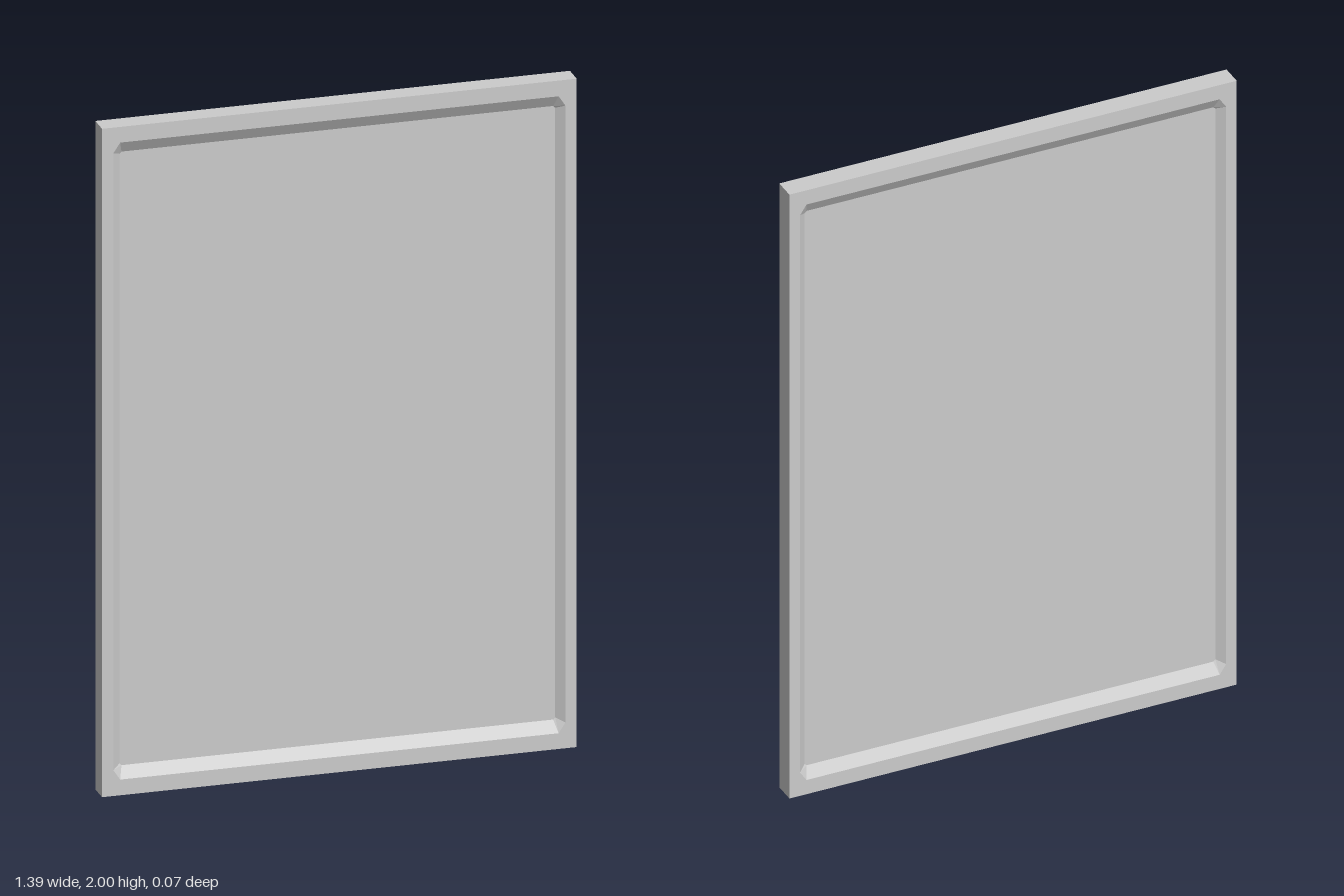
import * as THREE from 'three';

const CENTER_Y = 1, HALF_T = 0.033, HALF_WEB = 0.013;

// Rectangle outline with cut corners, as 8 points counter-clockwise seen from +z
function loop(hx, hy, cx, cy, z) {
  return [
    [hx, -hy + cy], [hx, hy - cy], [hx - cx, hy], [-hx + cx, hy],
    [-hx, hy - cy], [-hx, -hy + cy], [-hx + cx, -hy], [hx - cx, -hy],
  ].map(([x, y]) => [x, y + CENTER_Y, z]);
}

// Joins successive loops with quads, skipping collapsed corners
function loft(loops) {
  const pos = [];
  for (let i = 0; i < loops.length - 1; i++) {
    const a = loops[i], b = loops[i + 1], n = a.length;
    for (let j = 0; j < n; j++) {
      const k = (j + 1) % n;
      const same = (p, q) => p.every((v, m) => Math.abs(v - q[m]) < 1e-6);
      if (!same(a[j], a[k])) pos.push(...a[j], ...a[k], ...b[k]);
      if (!same(b[j], b[k])) pos.push(...a[j], ...b[k], ...b[j]);
    }
  }
  const g = new THREE.BufferGeometry();
  g.setAttribute('position', new THREE.Float32BufferAttribute(pos, 3));
  g.computeVertexNormals();
  return g;
}

export function createModel() {
  const group = new THREE.Group();
  group.name = 'framedPanel';
  const mat = new THREE.MeshStandardMaterial({ color: 0xcccccc, flatShading: true });

  const inner = z => loop(0.638, 0.918, 0.006, 0.006, z);
  const rim = z => loop(0.662, 0.953, 0.02, 0.03, z);
  const edge = z => loop(0.695, 1, 0, 0, z);

  // Frame with a sloped inner border on both faces
  const frame = new THREE.Mesh(loft([
    inner(-HALF_WEB), rim(-HALF_T), edge(-HALF_T),
    edge(HALF_T), rim(HALF_T), inner(HALF_WEB),
  ]), mat);
  frame.name = 'frame';
  group.add(frame);

  // Recessed flat panels, front and back
  const outline = new THREE.Shape(inner(0).map(([x, y]) => new THREE.Vector2(x, y - CENTER_Y)));
  for (const side of [1, -1]) {
    const panel = new THREE.Mesh(new THREE.ShapeGeometry(outline), mat);
    panel.position.set(0, CENTER_Y, side * HALF_WEB);
    if (side < 0) panel.rotation.y = Math.PI;
    panel.name = side > 0 ? 'frontPanel' : 'backPanel';
    group.add(panel);
  }
  return group;
}
